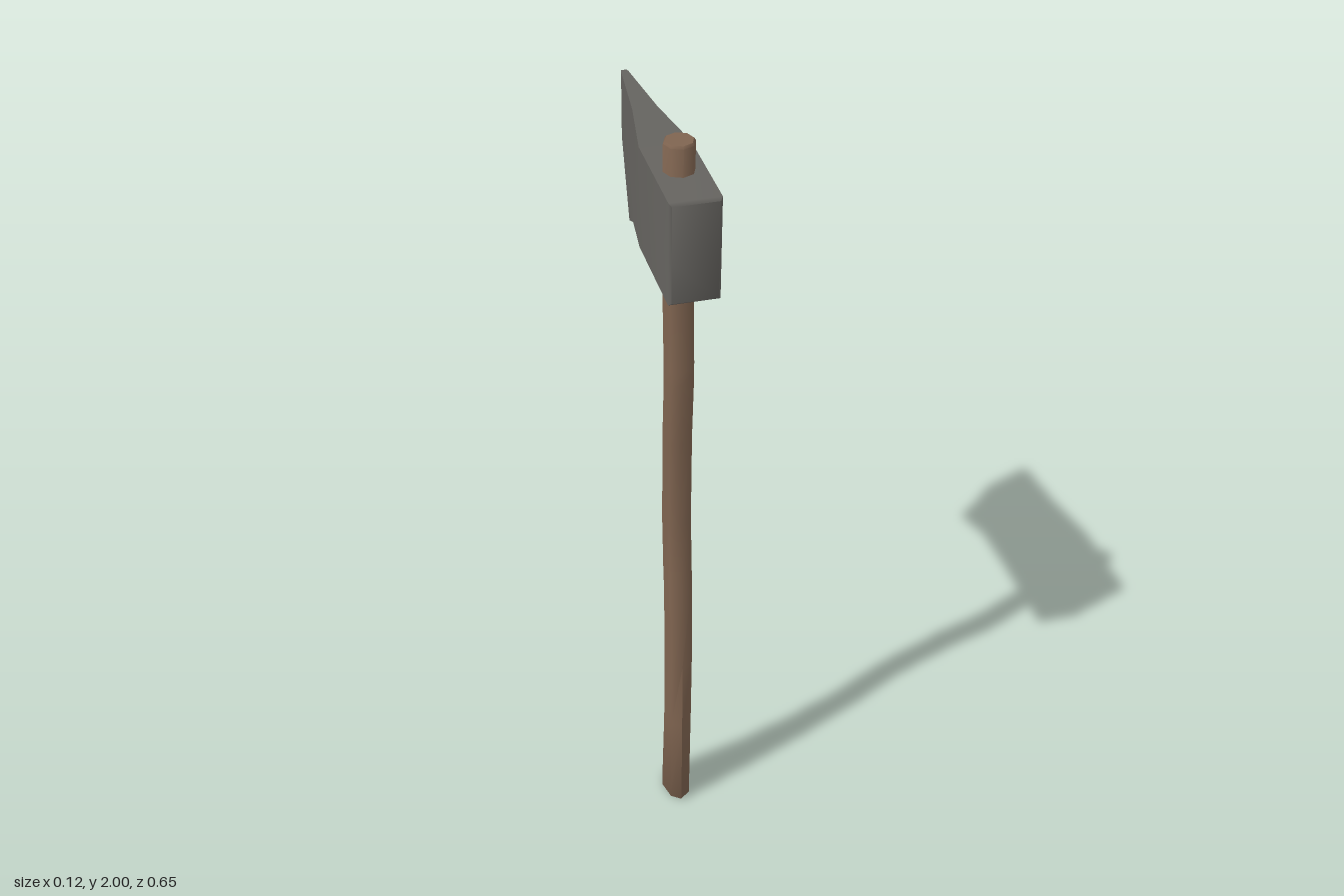
import * as THREE from 'three';
import { toCreasedNormals } from 'three/addons/utils/BufferGeometryUtils.js';

// Skin a series of even-sided rings and close both ends with strips.
function loft(rings) {
  const n = rings[0].length;
  const index = [];
  for (let r = 0; r < rings.length - 1; r++) {
    for (let i = 0; i < n; i++) {
      const a = r * n + i, b = r * n + (i + 1) % n;
      index.push(a, a + n, b, b, a + n, b + n);
    }
  }
  const last = (rings.length - 1) * n;
  for (let i = 0; i < n / 2 - 1; i++) {
    const a = i, b = i + 1, c = n - 2 - i, d = n - 1 - i;
    index.push(a, b, c, a, c, d);
    index.push(last + a, last + c, last + b, last + a, last + d, last + c);
  }
  const geometry = new THREE.BufferGeometry();
  geometry.setAttribute('position', new THREE.Float32BufferAttribute(rings.flat(2), 3));
  geometry.setIndex(index);
  return toCreasedNormals(geometry, 0.9);
}

function addPart(group, name, geometry, color) {
  const mesh = new THREE.Mesh(geometry, new THREE.MeshStandardMaterial({ color }));
  mesh.name = name;
  group.add(mesh);
}

export function createModel() {
  const axe = new THREE.Group();
  axe.name = 'axe';

  // Curved eight-sided handle: height, front z, back z, half width
  const handleSections = [
    [0, 0.250, 0.137, 0.033],
    [0.008, 0.256, 0.132, 0.037],
    [0.29, 0.256, 0.160, 0.037],
    [0.50, 0.253, 0.168, 0.037],
    [0.74, 0.240, 0.166, 0.037],
    [0.80, 0.232, 0.158, 0.037],
    [0.95, 0.219, 0.147, 0.037],
    [1.20, 0.219, 0.147, 0.037],
    [1.38, 0.231, 0.158, 0.037],
    [1.42, 0.230, 0.157, 0.037],
    [1.60, 0.219, 0.146, 0.037],
    [1.994, 0.219, 0.145, 0.037],
    [2, 0.215, 0.149, 0.033],
  ];
  const handleRings = handleSections.map(([y, front, back, w]) =>
    Array.from({ length: 8 }, (_, i) => {
      const a = i * Math.PI / 4;
      return [w * Math.cos(a), y, (front + back) / 2 + Math.sin(a) * (front - back) / 2];
    }));
  addPart(axe, 'handle', loft(handleRings), 0x7f6450);

  // Wedge head from poll to cutting edge:
  // half width, z of top and middle, z of bottom, top y, middle y, bottom y
  const headSections = [
    [0.054, 0.324, 0.324, 1.919, 1.78, 1.676],
    [0.060, 0.317, 0.317, 1.926, 1.78, 1.670],
    [0.060, 0.060, 0.060, 1.926, 1.78, 1.670],
    [0.030, -0.120, -0.120, 1.926, 1.77, 1.628],
    [0.009, -0.314, -0.245, 1.926, 1.755, 1.560],
    [0.007, -0.322, -0.252, 1.926, 1.752, 1.556],
    [0.003, -0.326, -0.256, 1.924, 1.75, 1.554],
  ];
  const headRings = headSections.map(([w, z, zb, top, mid, bottom]) => [
    [w, bottom, zb], [w, mid, z], [w, top, z],
    [-w, top, z], [-w, mid, z], [-w, bottom, zb],
  ]);
  addPart(axe, 'head', loft(headRings), 0x65635f);

  return axe;
}
